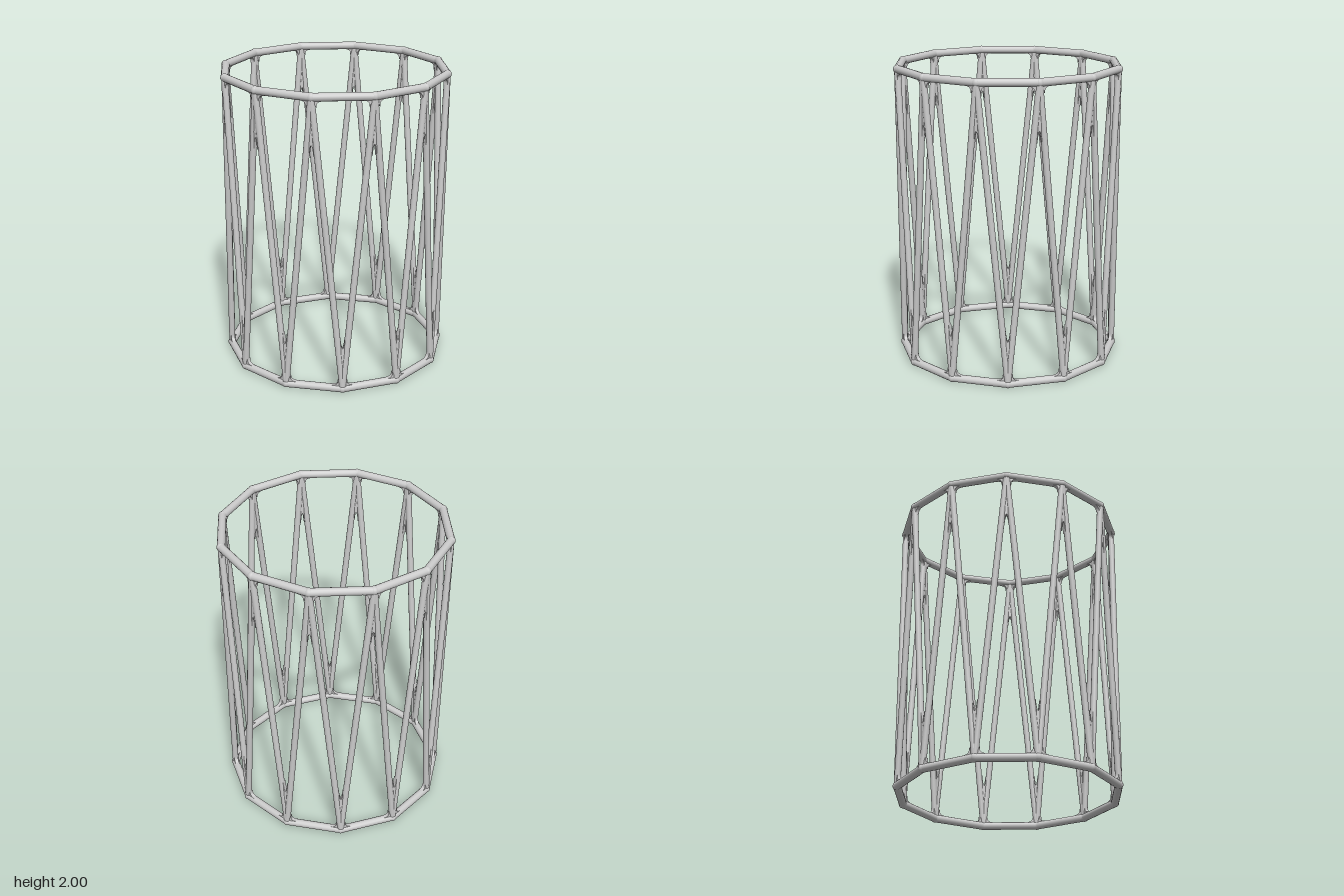
import * as THREE from 'three';

const SIDES = 12;
const RING_R = 0.026, STRUT_R = 0.021, HUB_R = 0.028;
const mat = new THREE.MeshStandardMaterial({ color: 0xcccccc });

// Corners of one twelve-sided ring
function ringPoints(radius, y, offset) {
  return Array.from({ length: SIDES }, (_, i) => {
    const a = ((i + offset) * 2 * Math.PI) / SIDES;
    return new THREE.Vector3(radius * Math.sin(a), y, radius * Math.cos(a));
  });
}

function addMesh(parent, name, geometry) {
  const mesh = new THREE.Mesh(geometry, mat);
  mesh.name = name;
  parent.add(mesh);
  return mesh;
}

// Round bar between two points
function bar(parent, name, a, b, r) {
  const dir = b.clone().sub(a);
  const mesh = addMesh(parent, name, new THREE.CylinderGeometry(r, r, dir.length(), 14, 1, true));
  mesh.position.copy(a).add(b).multiplyScalar(0.5);
  mesh.quaternion.setFromUnitVectors(new THREE.Vector3(0, 1, 0), dir.normalize());
}

// Filleted web in the corner at p between bars running towards a and b
function fillet(parent, name, p, a, b, r, size, thickness) {
  const u = a.clone().sub(p).normalize();
  const v = b.clone().sub(p).normalize();
  const n = u.clone().cross(v).normalize();
  const w = n.clone().cross(u);
  const angle = u.angleTo(v);
  const cos = Math.cos(angle), sin = Math.sin(angle);
  // Point where the inner edges of both bars meet
  const k = r / sin;
  const cx = k * (1 + cos), cy = k * sin;
  const shape = new THREE.Shape();
  shape.moveTo(0, 0);
  shape.lineTo(cx + size, cy);
  shape.quadraticCurveTo(cx, cy, cx + size * cos, cy + size * sin);
  shape.closePath();
  const geo = new THREE.ExtrudeGeometry(shape, { depth: thickness, bevelEnabled: false, curveSegments: 8 });
  geo.translate(0, 0, -thickness / 2);
  geo.applyMatrix4(new THREE.Matrix4().makeBasis(u, w, n).setPosition(p));
  addMesh(parent, name, geo);
}

// Ring of straight bars with rounded corners, plus webs to the struts
function buildRing(name, pts, others, shift) {
  const ring = new THREE.Group();
  ring.name = name;
  pts.forEach((p, i) => {
    const next = pts[(i + 1) % SIDES];
    const prev = pts[(i + SIDES - 1) % SIDES];
    const right = others[(i + shift) % SIDES];
    const left = others[(i + shift + SIDES - 1) % SIDES];
    bar(ring, 'ringBar', p, next, RING_R);
    addMesh(ring, 'joint', new THREE.SphereGeometry(HUB_R, 14, 10)).position.copy(p);
    fillet(ring, 'strutWeb', p, left, right, STRUT_R, 0.15, 0.03);
    fillet(ring, 'cornerWeb', p, right, next, 0.024, 0.04, 0.026);
    fillet(ring, 'cornerWeb', p, left, prev, 0.024, 0.04, 0.026);
  });
  return ring;
}

export function createModel() {
  const model = new THREE.Group();
  model.name = 'cylindricalFrame';
  const bottom = ringPoints(0.721, 0.029, 0);
  const top = ringPoints(0.732, 1.972, 0.5);

  model.add(buildRing('bottomRing', bottom, top, 0));
  model.add(buildRing('topRing', top, bottom, 1));

  // Zigzag struts joining the rings
  const struts = new THREE.Group();
  struts.name = 'struts';
  bottom.forEach((p, i) => {
    bar(struts, 'strut', p, top[i], STRUT_R);
    bar(struts, 'strut', p, top[(i + SIDES - 1) % SIDES], STRUT_R);
  });
  model.add(struts);
  return model;
}
